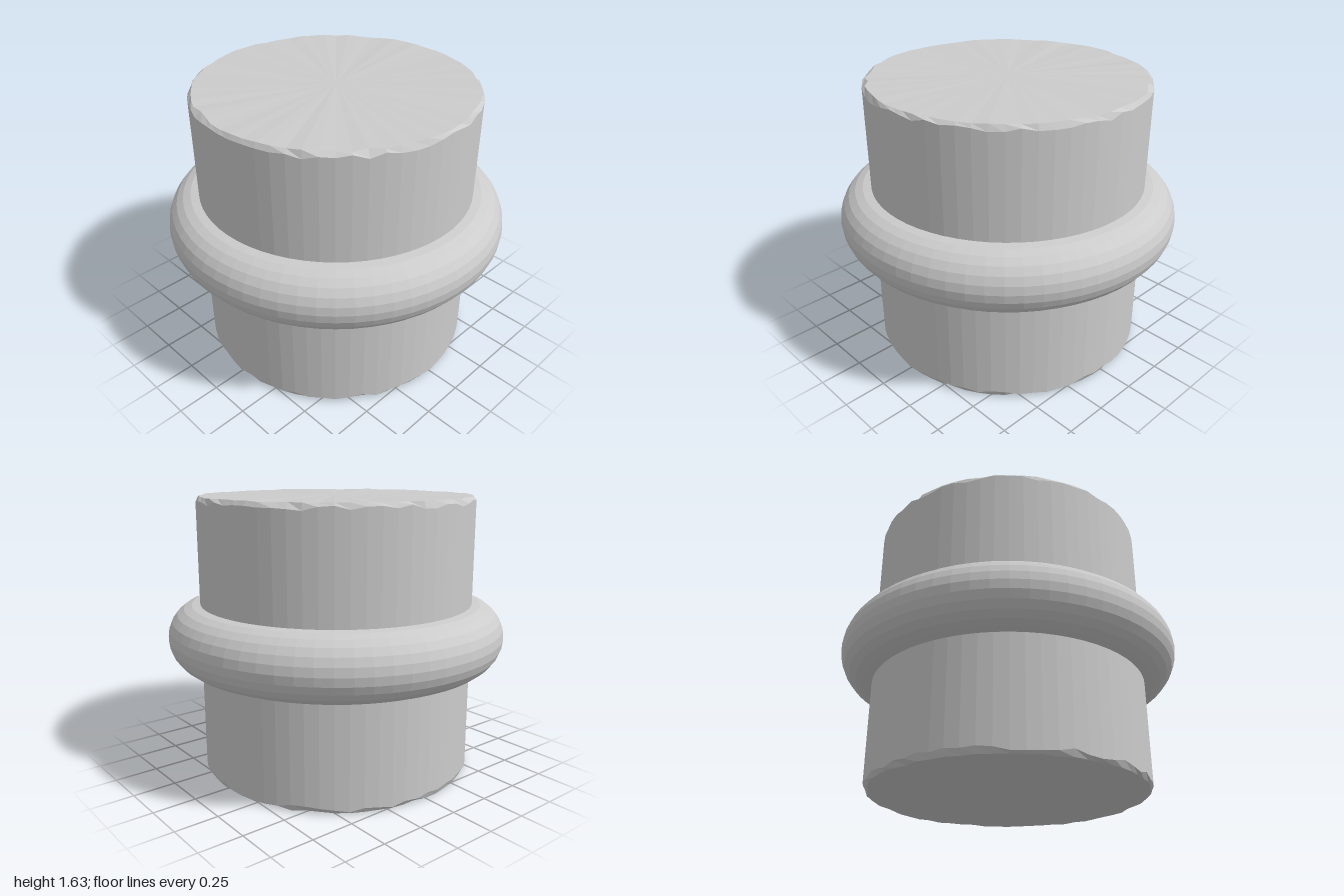
import * as THREE from 'three';

const SIDES = 64;

// Small seeded generator for the worn rims
function seeded(seed) {
  return () => {
    seed = (seed * 1664525 + 1013904223) % 4294967296;
    return seed / 4294967296;
  };
}

// Solid drum whose top and bottom edges are slightly chipped
function chippedDrum(radius, bottom, top) {
  const profile = [
    [0, bottom], [radius - 0.015, bottom], [radius, bottom + 0.025],
    [radius, top - 0.025], [radius - 0.015, top], [0, top],
  ].map(([r, y]) => new THREE.Vector2(r, y));
  const geometry = new THREE.LatheGeometry(profile, SIDES);
  const position = geometry.attributes.position;
  const random = seeded(7);
  const chips = Array.from({ length: SIDES }, () =>
    profile.map(() => [random(), random()]));

  for (let i = 0; i <= SIDES; i++) {
    for (let j = 1; j < profile.length - 1; j++) {
      const k = i * profile.length + j;
      const [a, b] = chips[i % SIDES][j];
      const inward = j < 3 ? 1 : -1;
      const onCap = j === 1 || j === 4;
      // Cap corners shift inward, wall corners shift along the wall
      const scale = onCap ? 1 - 0.03 * a ** 3 : 1;
      const shift = onCap ? 0.006 * (b - 0.5) : 0.03 * (a - 0.5);
      position.setXYZ(k, position.getX(k) * scale,
        position.getY(k) + inward * shift, position.getZ(k) * scale);
    }
  }
  geometry.computeVertexNormals();
  return geometry;
}

export function createModel() {
  const group = new THREE.Group();
  const material = new THREE.MeshStandardMaterial({ color: 0xcccccc, flatShading: true });

  // Central drum
  const drum = new THREE.Mesh(chippedDrum(0.81, 0.015, 1.64), material);
  drum.name = 'drum';
  group.add(drum);

  // Rounded band around the middle
  const band = new THREE.Mesh(new THREE.TorusGeometry(0.81, 0.19, 24, SIDES), material);
  band.name = 'band';
  band.rotation.x = Math.PI / 2;
  band.position.y = 0.83;
  group.add(band);

  return group;
}
